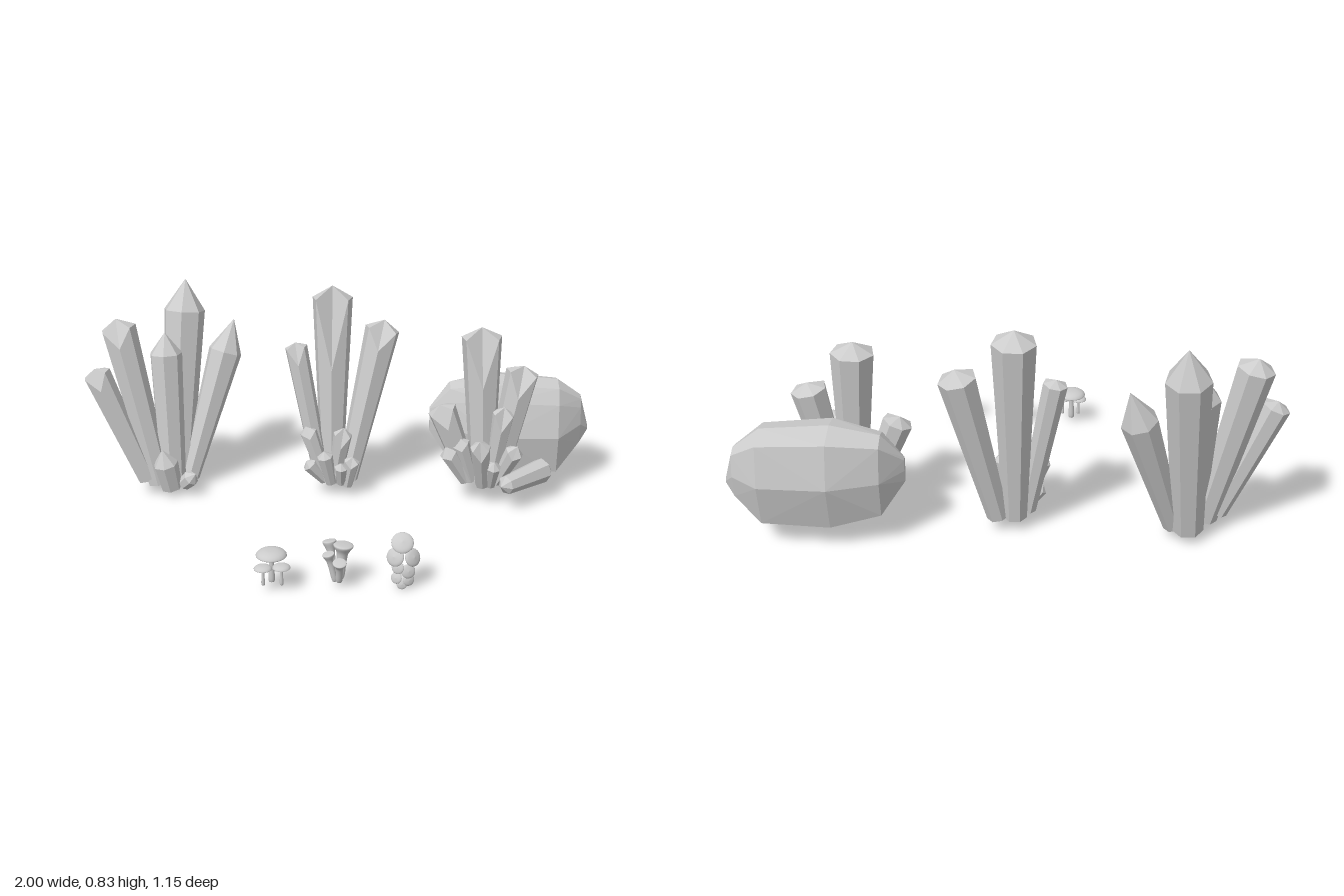
import * as THREE from 'three';
import { ConvexGeometry } from 'three/addons/geometries/ConvexGeometry.js';

const flat = new THREE.MeshStandardMaterial({ color: 0xcccccc, flatShading: true });
const smooth = new THREE.MeshStandardMaterial({ color: 0xcccccc, side: THREE.DoubleSide });
const UP = new THREE.Vector3(0, 1, 0);

// Stand a y-up geometry on point a, leaning toward point b
function place(name, geometry, material, a, b) {
  const mesh = new THREE.Mesh(geometry, material);
  mesh.name = name;
  const from = new THREE.Vector3(...a);
  mesh.position.copy(from);
  mesh.quaternion.setFromUnitVectors(UP, new THREE.Vector3(...b).sub(from).normalize());
  return mesh;
}

// Seven-sided crystal widening from its foot; cut drops the front shoulder corner into a long facet
function crystal([a, b, r, tip, cut = 0, foot = 0.68, footTip = 0.012]) {
  const h = new THREE.Vector3(...a).distanceTo(new THREE.Vector3(...b));
  const shoulder = h - tip * r;
  const profile = [[0, 0], [r * foot, footTip], [r, shoulder], [0, h]].map(p => new THREE.Vector2(...p));
  const g = new THREE.LatheGeometry(profile, 7).toNonIndexed();
  const p = g.attributes.position;
  for (let i = 0; i < p.count; i++) {
    if (Math.abs(p.getY(i) - shoulder) < 1e-4 && Math.abs(p.getX(i)) < 1e-4 && p.getZ(i) > 0) {
      p.setY(i, shoulder - cut * h);
      p.setZ(i, r * (1 - cut * (1 - foot)));
    }
  }
  g.computeVertexNormals();
  return place('crystal', g, flat, a, b);
}

function group(name, children) {
  const g = new THREE.Group();
  g.name = name;
  g.add(...children);
  return g;
}

// Boulder: convex hull of uneven octagonal sections along x
function boulder() {
  // section outline as [z, y], front is +z
  const outline = [[1, -0.1], [0.75, 0.6], [0.5, 0.92], [-0.1, 1], [-0.8, 0.85], [-1, 0.02], [-0.65, -0.88], [0.1, -1], [0.8, -0.92]];
  // x, back z, front z, bottom y, top y
  const sections = [
    [0.36, -0.43, -0.4, 0.23, 0.33], [0.44, -0.52, -0.35, 0.11, 0.43],
    [0.62, -0.577, -0.285, 0.07, 0.465], [0.87, -0.56, -0.31, 0.075, 0.445],
    [0.965, -0.51, -0.4, 0.18, 0.375], [0.998, -0.47, -0.44, 0.23, 0.25],
  ];
  const points = sections.flatMap(([x, z0, z1, y0, y1]) => outline.map(([z, y]) =>
    new THREE.Vector3(x, (y0 + y1) / 2 + (y1 - y0) / 2 * y, (z0 + z1) / 2 + (z1 - z0) / 2 * z)));
  const mesh = new THREE.Mesh(new ConvexGeometry(points), flat);
  mesh.name = 'boulder';
  return mesh;
}

// Fungus turned from a profile of [radius, height]
function turned(name, profile, a, b) {
  const curve = new THREE.SplineCurve(profile.map(p => new THREE.Vector2(...p)));
  const pts = curve.getPoints(profile.length * 4).map(p => p.setX(Math.max(0, p.x)));
  return place(name, new THREE.LatheGeometry(pts, 20), smooth, a, b);
}

// Domed mushroom with a slim stem
function mushroom(x, top, z, r) {
  const bottom = 0.028, h = top - bottom, s = r * 0.17;
  return group('mushroom', [
    turned('stem', [[0, 0], [s * 1.2, 0.003], [s, h * 0.5], [s, h - r * 0.3]], [x, bottom, z], [x, 1, z]),
    turned('cap', [[0, -r * 0.45], [r * 0.6, -r * 0.45], [r, -r * 0.42], [r * 0.85, -r * 0.18], [r * 0.45, -r * 0.03], [0, 0]],
      [x, top, z], [x, 1, z]),
  ]);
}

// Flaring trumpet with a shallow domed mouth
function trumpet([a, b, r]) {
  const h = new THREE.Vector3(...a).distanceTo(new THREE.Vector3(...b));
  return turned('trumpet', [[0, 0], [r * 0.45, 0.003], [r * 0.5, h * 0.5], [r * 0.62, h * 0.75], [r, h - r * 0.25], [r * 0.8, h - r * 0.05], [0, h]], a, b);
}

// Tilted bracket cap tapering back to its root
function bracket([c, n, r]) {
  const b = c.map((v, i) => v + n[i]);
  return turned('bracketCap', [[0, -r * 1.1], [r * 0.35, -r * 0.75], [r * 0.6, -r * 0.35], [r, -r * 0.05], [r * 0.75, r * 0.2], [0, r * 0.35]], c, b);
}

export function createModel() {
  // foot, tip, radius, tip length in radii, front cut, foot taper, foot point length
  const rightSide = [ // cluster at -x
    [[-0.66, 0.03, -0.36], [-0.62, 0.825, -0.515], 0.083, 1.5, 0, 0.7],
    [[-0.72, 0.03, -0.28], [-0.875, 0.715, -0.335], 0.07, 0.55, 0.1],
    [[-0.765, 0.05, -0.27], [-0.96, 0.525, -0.28], 0.055, 0.4, 0.12],
    [[-0.67, 0.02, -0.29], [-0.69, 0.65, -0.365], 0.065, 1.3, 0, 0.8],
    [[-0.61, 0.03, -0.34], [-0.43, 0.66, -0.515], 0.068, 2, 0, 0.55],
    [[-0.67, 0.02, -0.26], [-0.7, 0.205, -0.23], 0.05, 1.3, 0, 0.85],
    [[-0.63, 0.035, -0.27], [-0.57, 0.1, -0.235], 0.033, 1, 0, 0.85],
  ];
  const middle = [
    [[-0.03, 0.04, -0.33], [-0.03, 0.835, -0.415], 0.081, 0.6, 0.35, 0.55],
    [[0.03, 0.04, -0.33], [0.175, 0.69, -0.435], 0.07, 0.55, 0.12, 0.6],
    [[-0.07, 0.06, -0.31], [-0.175, 0.62, -0.35], 0.045, 0.4, 0.12, 0.75],
    [[-0.05, 0.05, -0.29], [-0.13, 0.29, -0.3], 0.037, 0.7, 0.1],
    [[-0.02, 0.04, -0.3], [0.02, 0.29, -0.28], 0.038, 0.8, 0.2],
    [[-0.03, 0.04, -0.28], [-0.06, 0.2, -0.25], 0.032, 0.8],
    [[0.03, 0.03, -0.28], [0.055, 0.17, -0.265], 0.032, 0.6, 0.15],
    [[-0.05, 0.05, -0.29], [-0.13, 0.15, -0.265], 0.03, 0.7],
    [[0.01, 0.04, -0.28], [0.01, 0.15, -0.245], 0.027, 0.8],
  ];
  const leftSide = [ // cluster at +x
    [[0.57, 0.08, -0.25], [0.55, 0.715, -0.285], 0.08, 0.5, 0.3, 0.6],
    [[0.62, 0.08, -0.25], [0.72, 0.555, -0.295], 0.066, 0.4, 0.2],
    [[0.52, 0.08, -0.25], [0.395, 0.405, -0.25], 0.057, 0.4, 0.2],
    [[0.6, 0.08, -0.24], [0.645, 0.41, -0.22], 0.045, 0.6, 0.2],
    [[0.57, 0.07, -0.22], [0.55, 0.295, -0.145], 0.04, 0.8, 0.2],
    [[0.51, 0.08, -0.24], [0.42, 0.24, -0.215], 0.038, 0.7, 0.1],
    [[0.53, 0.08, -0.24], [0.47, 0.28, -0.22], 0.037, 0.7, 0.1],
    [[0.62, 0.08, -0.23], [0.7, 0.26, -0.185], 0.037, 0.8, 0.1],
    [[0.6, 0.07, -0.22], [0.61, 0.2, -0.165], 0.03, 0.9],
    [[0.635, 0.115, -0.12], [0.845, 0.115, -0.325], 0.05, 1, 0, 0.75, 0.03],
  ];
  const trumpets = [
    [[0.012, 0.03, 0.48], [-0.01, 0.165, 0.455], 0.025],
    [[0.028, 0.03, 0.48], [0.042, 0.162, 0.475], 0.036],
    [[0.012, 0.025, 0.495], [-0.012, 0.135, 0.5], 0.022],
    [[0.027, 0.025, 0.5], [0.03, 0.115, 0.528], 0.025],
  ];
  // centre, facing direction, radius
  const brackets = [
    [[0.25, 0.178, 0.492], [0, 0.7, 0.7], 0.04],
    [[0.225, 0.125, 0.5], [-0.45, 0.4, 0.8], 0.034],
    [[0.287, 0.122, 0.495], [0.6, 0.4, 0.7], 0.033],
    [[0.235, 0.085, 0.505], [-0.3, 0.3, 0.9], 0.023],
    [[0.272, 0.072, 0.505], [0.3, 0.3, 0.9], 0.026],
    [[0.23, 0.042, 0.5], [-0.4, 0.3, 0.8], 0.021],
    [[0.274, 0.035, 0.5], [0.4, 0.2, 0.8], 0.022],
    [[0.25, 0.02, 0.505], [0, 0.2, 0.9], 0.019],
  ];

  return group('crystalsAndFungi', [
    group('rightCrystalCluster', rightSide.map(crystal)),
    group('middleCrystalCluster', middle.map(crystal)),
    group('leftCrystalCluster', leftSide.map(crystal)),
    boulder(),
    group('mushrooms', [mushroom(-0.212, 0.152, 0.51, 0.055), mushroom(-0.24, 0.105, 0.542, 0.032), mushroom(-0.175, 0.108, 0.538, 0.032)]),
    group('trumpets', trumpets.map(trumpet)),
    group('bracketFungi', brackets.map(bracket)),
  ]);
}
